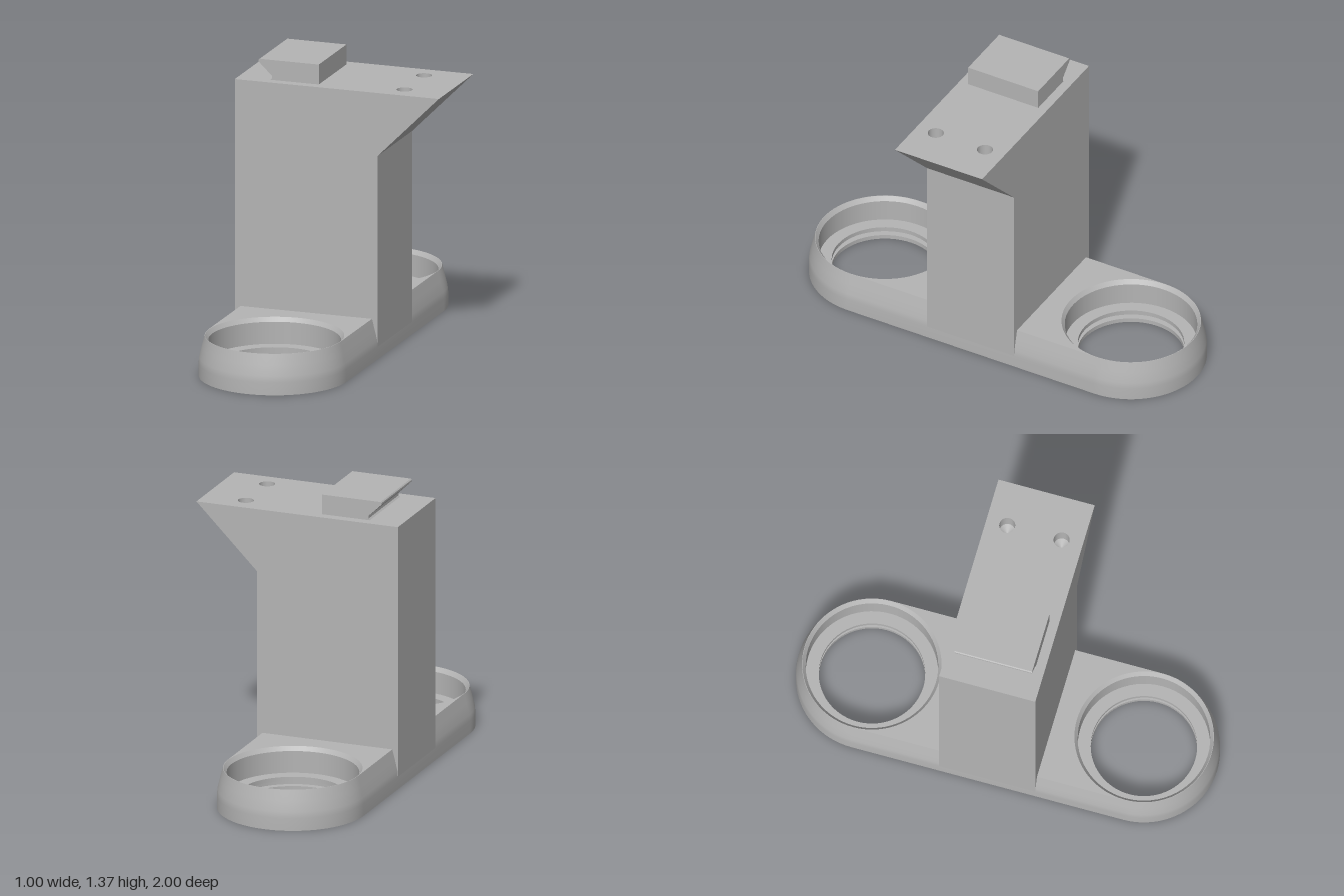
import * as THREE from 'three';

const CX = -0.15;          // base centre line in x
const RING_Z = 0.65;       // ring centres at +z and -z
const BASE_H = 0.19;
const HALF_D = 0.23;       // half depth of the column

export function createModel() {
  const model = new THREE.Group();
  const grey = new THREE.MeshStandardMaterial({ color: 0xb4b4b4, side: THREE.DoubleSide });
  grey.name = 'greyPlastic';

  const add = (name, geometry, x = 0, y = 0, z = 0) => {
    const mesh = new THREE.Mesh(geometry, grey);
    mesh.name = name;
    mesh.position.set(x, y, z);
    model.add(mesh);
    return mesh;
  };
  const polygon = (pts) => new THREE.Shape(pts.map(([x, y]) => new THREE.Vector2(x, y)));
  const rectangle = (x0, x1, h) => polygon([[x0, -h], [x1, -h], [x1, h], [x0, h]]);
  const drill = (shape, x, z, r) => shape.holes.push(new THREE.Path().absarc(x, z, r, 0, Math.PI * 2, true));
  // Side profile in x/y, extruded along z and centred
  const extrudeDepth = (pts, halfDepth) =>
    new THREE.ExtrudeGeometry(polygon(pts), { depth: halfDepth * 2, bevelEnabled: false }).translate(0, 0, -halfDepth);
  // Plan in x/z, extruded upwards
  const extrudeUp = (shape, height) =>
    new THREE.ExtrudeGeometry(shape, { depth: height, bevelEnabled: false, curveSegments: 24 }).rotateX(-Math.PI / 2);

  const screws = [];
  for (const dx of [-0.18, 0.18]) for (const z of [-0.175, 0.175]) screws.push([CX + dx, z]);
  const SCREW_R = 0.033;

  // Rounded-end outline of the base for a given end radius
  const N = 40;
  const outline = (r) => {
    const pts = [];
    for (const s of [1, -1]) {
      for (let i = 0; i <= N; i++) {
        const a = (s > 0 ? 0 : Math.PI) + (i / N) * Math.PI;
        pts.push([CX + r * Math.cos(a), s * RING_Z + r * Math.sin(a)]);
      }
    }
    return pts;
  };

  // Base outer wall: upright below, drawn in towards the top
  const wallProfile = [[0.35, 0], [0.35, 0.06], [0.347, 0.09], [0.335, 0.14], [0.322, BASE_H]];
  const positions = [], indices = [];
  const ringCount = 2 * (N + 1);
  wallProfile.forEach(([r, y]) => outline(r).forEach(([x, z]) => positions.push(x, y, z)));
  for (let j = 0; j < wallProfile.length - 1; j++) {
    for (let i = 0; i < ringCount; i++) {
      const a = j * ringCount + i, b = j * ringCount + (i + 1) % ringCount;
      indices.push(a, a + ringCount, b, b, a + ringCount, b + ringCount);
    }
  }
  const wall = new THREE.BufferGeometry();
  wall.setAttribute('position', new THREE.Float32BufferAttribute(positions, 3));
  wall.setIndex(indices);
  wall.computeVertexNormals();
  add('baseWall', wall);

  // Flat top and bottom of the base
  const plate = (r, boreR) => {
    const shape = polygon(outline(r));
    for (const s of [1, -1]) drill(shape, CX, s * RING_Z, boreR);
    screws.forEach(([x, z]) => drill(shape, x, z, SCREW_R));
    return new THREE.ShapeGeometry(shape, 32);
  };
  add('baseTop', plate(0.322, 0.32).rotateX(-Math.PI / 2), 0, BASE_H, 0);
  add('baseBottom', plate(0.35, 0.245).rotateX(Math.PI / 2));

  // Stepped bores with an inner groove and a chamfered rim; each step is its own crisp band
  const bore = [[0.245, 0], [0.245, 0.02], [0.275, 0.02], [0.275, 0.045], [0.245, 0.045],
    [0.245, 0.065], [0.305, 0.065], [0.305, 0.17], [0.32, BASE_H]];
  for (const s of [1, -1]) {
    for (let i = 0; i < bore.length - 1; i++) {
      const band = [bore[i + 1], bore[i]].map(([r, y]) => new THREE.Vector2(r, y));
      add(s > 0 ? 'frontRingBore' : 'backRingBore', new THREE.LatheGeometry(band, 64), CX, 0, s * RING_Z);
    }
  }

  // Screw holes in the underside
  screws.forEach(([x, z]) =>
    add('baseScrewHole', new THREE.CylinderGeometry(SCREW_R, SCREW_R, BASE_H, 24, 1, true), x, BASE_H / 2, z));

  // Column foot, set into the base
  const foot = rectangle(-0.5, 0.2, HALF_D);
  screws.forEach(([x, z]) => drill(foot, x, z, SCREW_R));
  add('columnFoot', extrudeUp(foot, BASE_H - 0.06), 0, 0.06, 0);

  // Column with the lower part of the sloping overhang
  const TOP = 1.27, SLAB = 0.12;
  add('column', extrudeDepth([[-0.5, BASE_H], [0.2, BASE_H], [0.2, 0.97],
    [0.5 - SLAB, TOP - SLAB], [-0.5, TOP - SLAB]], HALF_D));

  // Top slab: its lower edge is pulled in to continue the slope
  const slabShape = rectangle(-0.5, 0.5, HALF_D);
  const pins = [[0.295, 0.13], [0.295, -0.13]];
  pins.forEach(([x, z]) => drill(slabShape, x, z, 0.037));
  const slab = extrudeUp(slabShape, SLAB);
  const p = slab.attributes.position;
  for (let i = 0; i < p.count; i++) {
    if (p.getX(i) > 0.45 && p.getY(i) < SLAB / 2) p.setX(i, 0.5 - SLAB);
  }
  const slabFlat = slab.toNonIndexed();
  slabFlat.computeVertexNormals();
  add('columnTop', slabFlat, 0, TOP - SLAB, 0);

  // Conical ends of the two top holes
  pins.forEach(([x, z]) =>
    add('topHoleTip', new THREE.CylinderGeometry(0.037, 0.001, 0.036, 24, 1, true), x, 1.171, z));

  // Hooked catch on top
  add('catch', extrudeDepth([[-0.342, TOP], [-0.105, TOP], [-0.105, 1.365], [-0.395, 1.365],
    [-0.4, 1.36], [-0.4, 1.352], [-0.335, 1.29], [-0.335, 1.277]], 0.185));

  return model;
}
